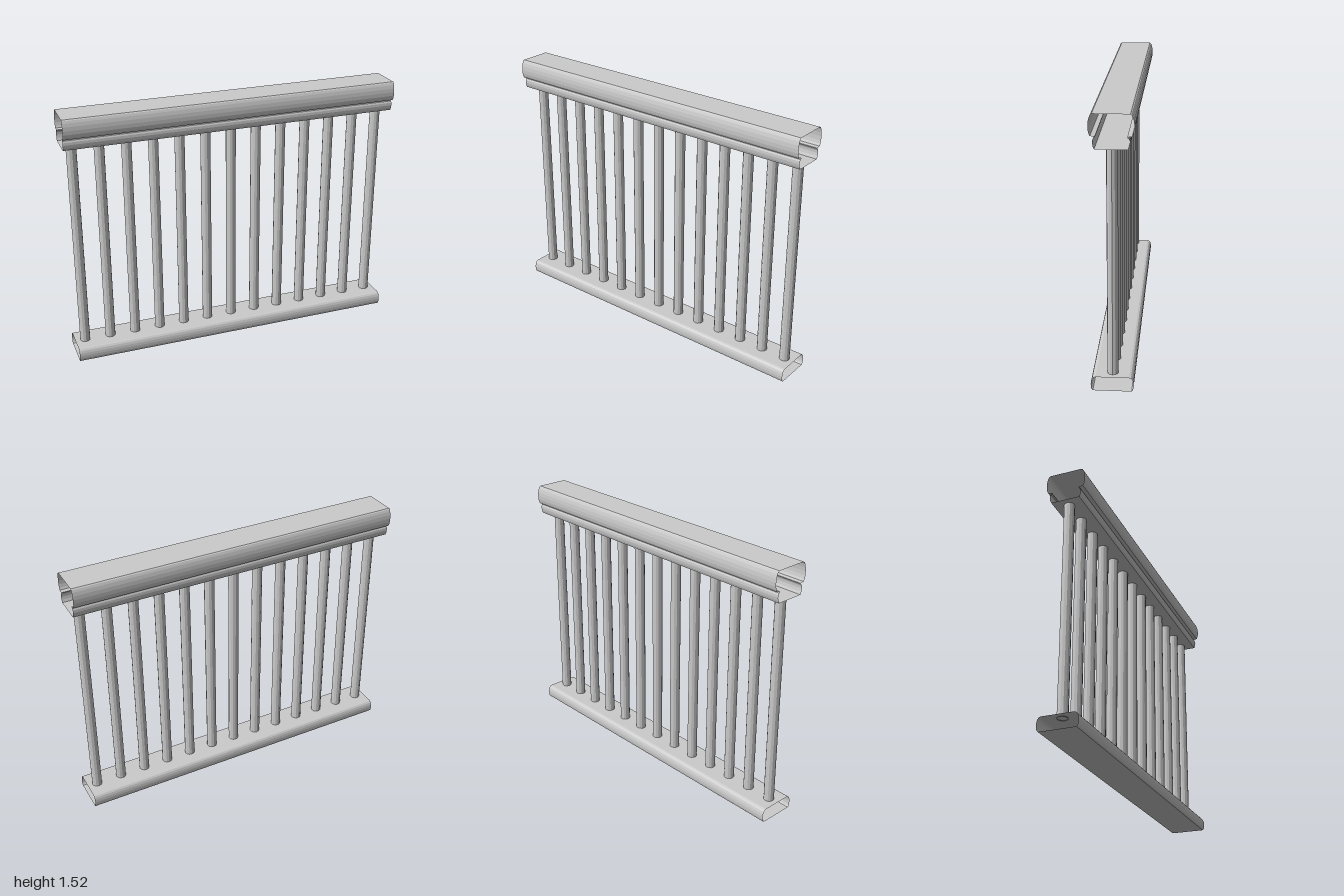
import * as THREE from 'three';

const material = new THREE.MeshStandardMaterial({
  color: 0xcccccc, flatShading: true, side: THREE.DoubleSide,
});
const LENGTH = 2;

// Hollow, open-ended rail: half a section as [z, y] from top to bottom, mirrored in z.
function rail(name, half) {
  const mirrored = half.map(([z, y]) => [-z, y]).reverse();
  const ring = [...half, ...mirrored, half[0]];
  const geometry = new THREE.PlaneGeometry(1, 1, ring.length - 1, 1);
  const position = geometry.attributes.position;
  for (let i = 0; i < position.count; i++) {
    const [z, y] = ring[i % ring.length];
    position.setXYZ(i, i < ring.length ? LENGTH / 2 : -LENGTH / 2, y, z);
  }
  geometry.computeVertexNormals();
  const mesh = new THREE.Mesh(geometry, material);
  mesh.name = name;
  return mesh;
}

export function createModel() {
  const group = new THREE.Group();
  group.name = 'railing';

  // Handrail with a wide cap, a narrow groove and a smaller lower lip
  group.add(rail('handrail', [
    [0.095, 1.52], [0.102, 1.515], [0.108, 1.502], [0.113, 1.482], [0.115, 1.46],
    [0.114, 1.438], [0.11, 1.42], [0.104, 1.408],
    [0.08, 1.405], [0.08, 1.4],
    [0.087, 1.397], [0.092, 1.387], [0.093, 1.372], [0.09, 1.355], [0.084, 1.34],
  ]));

  // Bottom rail with rounded upper edges
  group.add(rail('bottomRail', [
    [0.09, 0.08], [0.1, 0.077], [0.108, 0.068], [0.113, 0.054],
    [0.115, 0.038], [0.114, 0.02], [0.11, 0.006], [0.104, 0],
  ]));

  // Evenly spaced round balusters between the rails
  const count = 13, bottom = 0.077, top = 1.34, reach = 0.94;
  const geometry = new THREE.CylinderGeometry(0.03, 0.03, top - bottom, 12, 1, true);
  for (let i = 0; i < count; i++) {
    const baluster = new THREE.Mesh(geometry, material);
    baluster.name = `baluster${i + 1}`;
    baluster.position.set(-reach + (2 * reach * i) / (count - 1), (top + bottom) / 2, 0);
    group.add(baluster);
  }
  return group;
}
